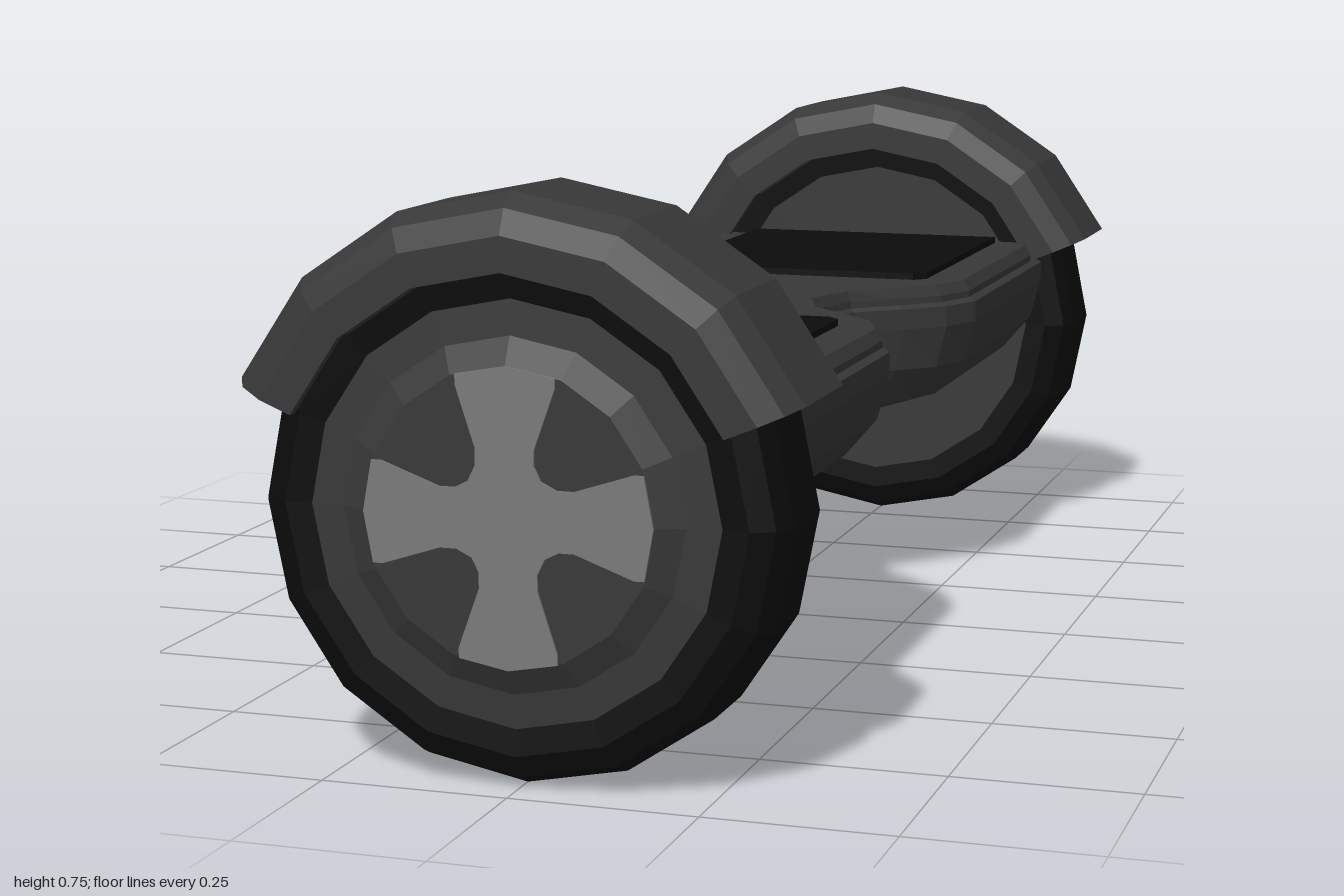
import * as THREE from 'three';

const mat = (name, color, side = THREE.FrontSide) =>
  new THREE.MeshStandardMaterial({ name, color, flatShading: true, side });

export function createModel() {
  const shell = mat('charcoal shell', 0x383838);
  const shellTwoSided = mat('charcoal shell', 0x383838);
  shellTwoSided.side = THREE.DoubleSide;
  const rubber = mat('black rubber', 0x0c0c0c);
  const metal = mat('grey metal', 0x7a7a7a);

  const model = new THREE.Group();
  model.name = 'balanceBoard';
  const add = (parent, name, geometry, material) => {
    const mesh = new THREE.Mesh(geometry, material);
    mesh.name = name;
    parent.add(mesh);
    return mesh;
  };
  const vectors = (list) => list.map(([x, y]) => new THREE.Vector2(x, y));
  // Turned part whose axis lies along z
  const turned = (list, start = 0, length = Math.PI * 2, segments = 16) =>
    new THREE.LatheGeometry(vectors(list), segments, start, length).rotateX(Math.PI / 2);

  // Deck: one half cross-section, widened and narrowed along z
  const half = [[0, 0.285], [0.5, 0.287], [0.78, 0.31], [0.94, 0.365], [1, 0.43], [1, 0.462],
    [0.965, 0.468], [0.965, 0.478], [0.93, 0.495], [0, 0.495]];
  const ring = [...half, ...half.slice(1, -1).reverse().map(([x, y]) => [-x, y])];
  const halfStations = [[0.09, 0.145], [0.145, 0.21], [0.2, 0.265], [0.27, 0.295], [0.785, 0.295]];
  const stations = [...halfStations.map(([z, w]) => [-z, w]).reverse(), [0, 0.11], ...halfStations];
  const positions = [], index = [], n = ring.length;
  for (const [z, w] of stations) for (const [x, y] of ring) positions.push(x * w, y, z);
  for (let s = 0; s < stations.length - 1; s++) {
    for (let i = 0; i < n; i++) {
      const a = s * n + i, b = s * n + (i + 1) % n;
      index.push(a, b, b + n, a, b + n, a + n);
    }
  }
  // End caps of the deck
  const last = (stations.length - 1) * n;
  for (const [a, b, c] of THREE.ShapeUtils.triangulateShape(vectors(ring), [])) {
    index.push(last + a, last + b, last + c, a, c, b);
  }
  const deck = new THREE.BufferGeometry();
  deck.setAttribute('position', new THREE.Float32BufferAttribute(positions, 3));
  deck.setIndex(index);
  deck.computeVertexNormals();
  add(model, 'deck', deck, shellTwoSided);

  // Foot pad with clipped corners
  const px = 0.217, z0 = 0.245, z1 = 0.76, c = 0.018;
  const padShape = new THREE.Shape(vectors([
    [-px + c, z0], [px - c, z0], [px, z0 + c], [px, z1], [-px, z1], [-px, z0 + c]]));
  const pad = new THREE.ExtrudeGeometry(padShape, { depth: 0.025, bevelEnabled: false })
    .rotateX(Math.PI / 2).translate(0, 0.505, 0);

  // Wheel profiles: radius, distance along the axle
  const tyre = turned([[0.27, -0.096], [0.305, -0.098], [0.335, -0.085], [0.349, -0.055],
    [0.349, 0.055], [0.335, 0.085], [0.305, 0.098], [0.27, 0.094]]);
  const hub = turned([[0, -0.096], [0.27, -0.096], [0.27, 0.094], [0.225, 0.097],
    [0.19, 0.114], [0, 0.114]]);

  // Four flared spokes as one thin cross
  const quarter = [[0, 0.19], [0.065, 0.178], [0.065, 0.165], [0.037, 0.088], [0.037, 0.068],
    [0.046, 0.05], [0.066, 0.04], [0.088, 0.04], [0.165, 0.065], [0.178, 0.065]];
  const crossPoints = [];
  for (let k = 0; k < 4; k++) {
    for (const [x, y] of quarter) {
      crossPoints.push([[x, y], [y, -x], [-x, -y], [-y, x]][k]);
    }
  }
  const spokes = new THREE.ExtrudeGeometry(new THREE.Shape(vectors(crossPoints)),
    { depth: 0.004, bevelEnabled: false }).translate(0, 0, 0.113);

  // Mudguard: hollow rounded arch over the top of the wheel
  const guardOuter = [[0.305, -0.133], [0.35, -0.133], [0.382, -0.118], [0.4, -0.085],
    [0.4, 0.08], [0.382, 0.112], [0.35, 0.127], [0.305, 0.127]];
  const guardInner = [[0.305, 0.113], [0.348, 0.113], [0.372, 0.1], [0.385, 0.075],
    [0.385, -0.08], [0.372, -0.106], [0.348, -0.119], [0.305, -0.119]];
  const section = [...guardOuter, ...guardInner];
  const start = Math.PI * 0.625, sweep = Math.PI * 0.75;
  const guard = turned([...section, section[0]], start, sweep, 6);
  const guardEnd = (angle) => new THREE.ShapeGeometry(new THREE.Shape(vectors(section)))
    .rotateY(angle - Math.PI / 2).rotateX(Math.PI / 2);

  for (const [name, turn] of [['front', 0], ['rear', Math.PI]]) {
    const side = new THREE.Group();
    side.name = name + 'Assembly';
    side.rotation.y = turn;
    model.add(side);
    add(side, name + 'FootPad', pad, rubber);

    const wheel = new THREE.Group();
    wheel.name = name + 'Wheel';
    wheel.position.set(0, 0.35, 0.873);
    side.add(wheel);
    add(wheel, name + 'Tyre', tyre, rubber);
    add(wheel, name + 'Hub', hub, shell);
    add(wheel, name + 'Spokes', spokes, metal);
    add(wheel, name + 'Mudguard', guard, shellTwoSided);
    add(wheel, name + 'MudguardEndA', guardEnd(start), shellTwoSided);
    add(wheel, name + 'MudguardEndB', guardEnd(start + sweep), shellTwoSided);
  }
  return model;
}
